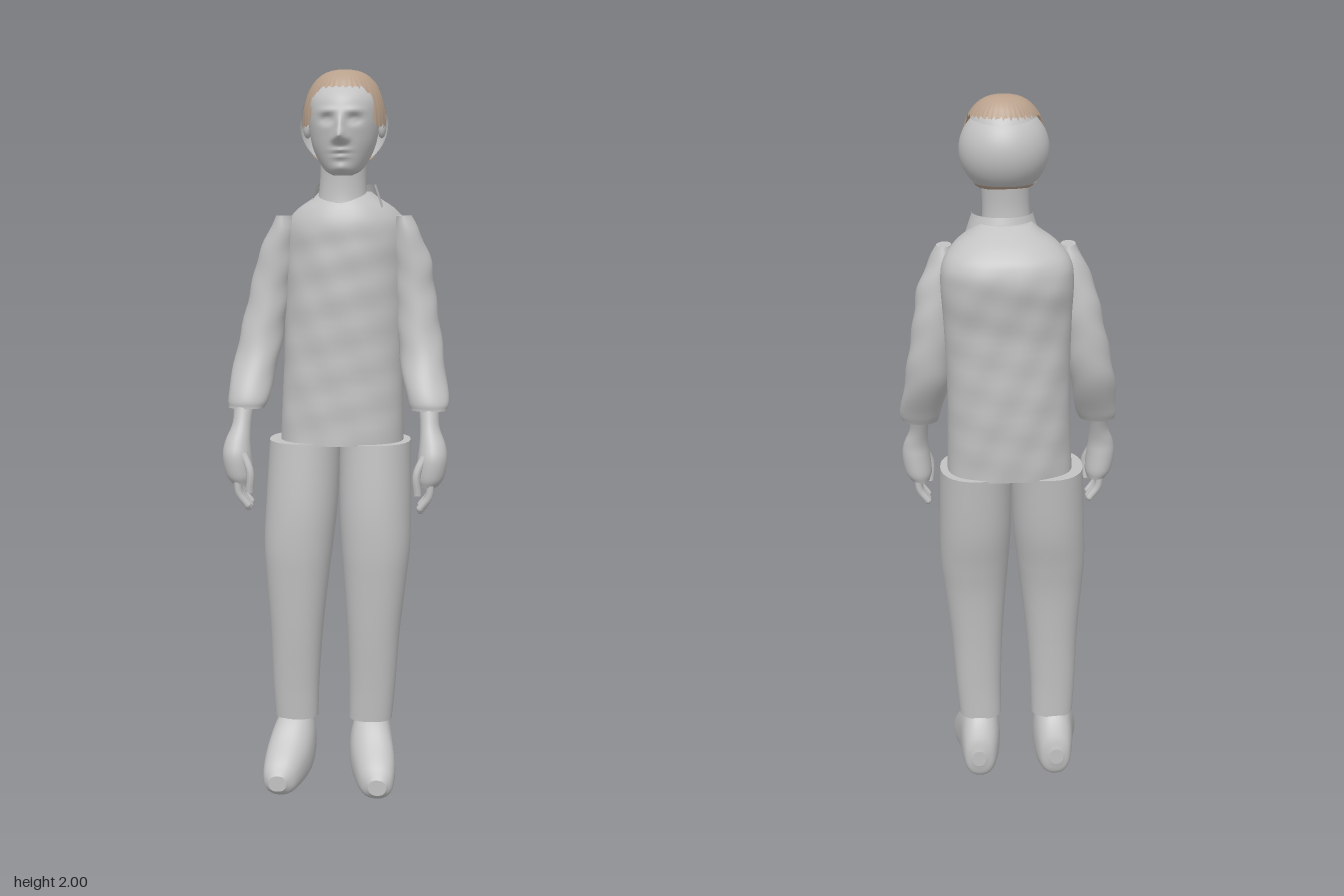
import * as THREE from 'three';

const grey = new THREE.MeshStandardMaterial({ color: 0xc2c2c2, side: THREE.DoubleSide });
grey.name = 'plainGrey';
const tan = new THREE.MeshStandardMaterial({ color: 0xb8a08b, side: THREE.DoubleSide });
tan.name = 'hairTan';

// Smooth loft through oval rows [y, x0, x1, z0, z1], lowest row first, with flat ends
function loft(rows, { seg = 32, sub = 5, power = 1, rule } = {}) {
  const spline = new THREE.CubicInterpolant(rows.map((r, i) => i), rows.flat(), 5);
  const rings = (rows.length - 1) * sub;
  const pos = [], index = [], v = new THREE.Vector3();
  const bend = (c) => Math.sign(c) * Math.abs(c) ** power;
  for (let i = 0; i <= rings; i++) {
    const [y, x0, x1, z0, z1] = spline.evaluate(i / sub);
    for (let j = 0; j < seg; j++) {
      const a = (j / seg) * Math.PI * 2;
      v.set((x0 + x1) / 2 + (x1 - x0) / 2 * bend(Math.cos(a)), y,
        (z0 + z1) / 2 + (z1 - z0) / 2 * bend(Math.sin(a)));
      if (rule) rule(v);
      pos.push(v.x, v.y, v.z);
      if (i < rings) {
        const p = i * seg + j, q = i * seg + (j + 1) % seg;
        index.push(p, p + seg, q, q, p + seg, q + seg);
      }
    }
  }
  for (const [ring, top] of [[0, false], [rings, true]]) {
    const start = pos.length / 3, c = [0, 0, 0];
    for (let j = 0; j < seg; j++) for (let k = 0; k < 3; k++) {
      const n = pos[(ring * seg + j) * 3 + k];
      pos.push(n);
      c[k] += n / seg;
    }
    pos.push(...c);
    for (let j = 0; j < seg; j++) {
      const p = start + j, q = start + (j + 1) % seg;
      index.push(start + seg, top ? q : p, top ? p : q);
    }
  }
  const g = new THREE.BufferGeometry();
  g.setAttribute('position', new THREE.Float32BufferAttribute(pos, 3));
  g.setIndex(index);
  g.computeVertexNormals();
  return g;
}

// Mirror rows to either side of the body
const sided = (rows, s, shift = () => 0) => rows.map(([y, x0, x1, z0, z1]) => {
  const d = shift(y);
  return s > 0 ? [y, x0 + d, x1 + d, z0, z1] : [y, d - x1, d - x0, z0, z1];
});

// Soft bump used to model the face
const bump = (x, y, cx, cy, w, h) => Math.exp(-(((x - cx) / w) ** 2) - ((y - cy) / h) ** 2);

function faceRule(v) {
  if (v.z < 0.06) return;
  const x = Math.abs(v.x - 0.017), y = v.y;
  v.z += 0.038 * bump(x, y, 0, 1.822, 0.014, 0.017) + 0.017 * bump(x, y, 0, 1.85, 0.011, 0.026)
    + 0.008 * bump(x, y, 0.015, 1.815, 0.009, 0.009)
    - 0.013 * bump(x, y, 0.036, 1.865, 0.018, 0.011) + 0.006 * bump(x, y, 0.036, 1.864, 0.01, 0.006)
    + 0.006 * bump(x, y, 0.035, 1.888, 0.024, 0.008)
    + 0.009 * bump(x, y, 0, 1.786, 0.022, 0.007) + 0.008 * bump(x, y, 0, 1.77, 0.02, 0.007)
    - 0.004 * bump(x, y, 0, 1.778, 0.026, 0.003) + 0.008 * bump(x, y, 0, 1.742, 0.02, 0.012);
}

// Shoulders wider behind than in front, plus light cloth creases
function shirtRule(v) {
  const k = THREE.MathUtils.smoothstep(v.y, 1.1, 1.5);
  v.x = 0.012 + (v.x - 0.012) * (1 - k * (v.z + 0.1) * 0.9);
  const fade = THREE.MathUtils.smoothstep(1.62 - v.y, 0, 0.1);
  v.z += fade * 0.003 * Math.sin(v.y * 46 + v.x * 22) * Math.sin(v.x * 38 - v.y * 17);
}

// Hair cap: low at the temples, high above the forehead and at the back, with ragged strands
function hairCap() {
  const seg = 120, rings = 14, pos = [], index = [];
  const step = THREE.MathUtils.smoothstep;
  for (let i = 0; i <= rings; i++) for (let j = 0; j < seg; j++) {
    const a = (j / seg) * Math.PI * 2, s = Math.sin(a);
    const temple = step(s, 0.06, 0.14) * (1 - step(s, 0.62, 0.8));
    const edge = 1.95 - 0.1 * temple + 0.007 * Math.sin(j * 2.4) * Math.sin(j * 0.7);
    const phi = Math.acos((edge - 1.86) / 0.14) * i / rings;
    const r = Math.sin(phi) ** 0.75 * (1 + 0.012 * Math.sin(j * 2.1) * i / rings);
    pos.push(0.017 + 0.113 * r * Math.cos(a), 1.86 + 0.14 * Math.cos(phi),
      0.025 + (s > 0 ? 0.106 : 0.095) * r * s);
    if (i < rings) {
      const p = i * seg + j, q = i * seg + (j + 1) % seg;
      index.push(p, q, p + seg, q, q + seg, p + seg);
    }
  }
  const g = new THREE.BufferGeometry();
  g.setAttribute('position', new THREE.Float32BufferAttribute(pos, 3));
  g.setIndex(index);
  g.computeVertexNormals();
  return g;
}

export function createModel() {
  const model = new THREE.Group();
  model.name = 'standingMan';
  const add = (name, geometry, material = grey) => {
    const m = new THREE.Mesh(geometry, material);
    m.name = name;
    model.add(m);
    return m;
  };

  // Shirt and collar
  add('shirt', loft([
    [0.99, -0.167, 0.177, -0.145, 0.09], [1.2, -0.16, 0.176, -0.158, 0.093],
    [1.4, -0.165, 0.188, -0.165, 0.1], [1.53, -0.168, 0.195, -0.186, 0.102],
    [1.59, -0.16, 0.188, -0.18, 0.1], [1.63, -0.13, 0.16, -0.15, 0.088],
    [1.66, -0.085, 0.118, -0.11, 0.07], [1.68, -0.06, 0.09, -0.075, 0.05],
  ], { seg: 64, sub: 8, power: 0.85, rule: shirtRule }));
  const collar = add('collar', new THREE.CylinderGeometry(0.08, 0.1, 0.06, 32, 1, true, Math.PI / 2 - 0.3, Math.PI + 0.3));
  collar.position.set(0.022, 1.668, 0.02);

  // Neck and head
  add('neck', loft([
    [1.62, -0.065, 0.09, -0.045, 0.085], [1.66, -0.056, 0.078, -0.04, 0.076],
    [1.72, -0.05, 0.075, -0.037, 0.074], [1.8, -0.05, 0.08, -0.045, 0.08],
  ]));
  add('head', loft([
    [1.722, -0.008, 0.042, 0.05, 0.112], [1.738, -0.034, 0.068, 0, 0.126],
    [1.78, -0.06, 0.093, -0.045, 0.136], [1.82, -0.072, 0.106, -0.06, 0.143],
    [1.87, -0.078, 0.112, -0.07, 0.149], [1.92, -0.076, 0.11, -0.062, 0.138],
    [1.96, -0.055, 0.089, -0.035, 0.1], [1.98, -0.02, 0.055, 0.01, 0.07],
  ], { seg: 96, sub: 9, rule: faceRule }));
  for (const s of [-1, 1]) {
    const ear = add(s > 0 ? 'leftEar' : 'rightEar', new THREE.SphereGeometry(1, 16, 12));
    ear.scale.set(0.012, 0.03, 0.018);
    ear.position.set(0.017 + s * 0.1, 1.85, 0.03);
  }

  // Back of the skull, cut straight at the ears, with a fringe of hair at the nape
  const back = (r, from, to) => new THREE.SphereGeometry(r, 40, 24, Math.PI, Math.PI, from, to - from)
    .scale(0.119, 0.116, 0.117).translate(0.016, 1.86, 0.035);
  add('skullBack', back(1, 0, 2.42));
  add('napeHair', back(1.02, 2.36, 2.5), tan);
  add('hair', hairCap(), tan);

  for (const s of [-1, 1]) {
    const side = s > 0 ? 'left' : 'right';
    const armShift = (y) => (y > 1.3 ? 0.01 * Math.min(1, (y - 1.3) / 0.2) : 0) + 0.002;

    // Sleeve
    add(side + 'Sleeve', loft(sided([
      [1.095, 0.2, 0.3, 0.04, 0.122], [1.13, 0.188, 0.303, 0.02, 0.118],
      [1.25, 0.164, 0.286, -0.042, 0.07], [1.4, 0.146, 0.258, -0.058, 0.048],
      [1.5, 0.135, 0.238, -0.052, 0.046], [1.57, 0.135, 0.208, -0.042, 0.046],
      [1.615, 0.145, 0.185, -0.028, 0.04],
    ], s, armShift), { sub: 7, rule: (v) => { v.x += 0.002 * Math.sin(v.y * 60 + v.z * 40); } }));

    // Hand: wrist and palm, four fingers and a thumb
    add(side + 'Palm', loft(sided([
      [0.895, 0.228, 0.282, 0.095, 0.168], [0.92, 0.222, 0.298, 0.088, 0.178],
      [0.97, 0.226, 0.306, 0.088, 0.18], [1.01, 0.23, 0.3, 0.088, 0.165],
      [1.06, 0.23, 0.282, 0.075, 0.137], [1.13, 0.222, 0.284, 0.045, 0.11],
    ], s), { seg: 24 }));
    const digit = (name, points, r) => add(side + name, new THREE.TubeGeometry(
      new THREE.CatmullRomCurve3(points.map(([x, y, z]) => new THREE.Vector3(s * x, y, z))), 10, r, 8));
    for (let f = 0; f < 4; f++) {
      const z = 0.106 + f * 0.018, tip = 0.825 + Math.abs(f - 1.5) * 0.008;
      digit('Finger' + (f + 1), [[0.262, 0.915, z], [0.258, 0.87, z], [0.235, tip, z - 0.002]], 0.0105);
      const end = add(side + 'Fingertip' + (f + 1), new THREE.SphereGeometry(0.0105, 8, 6));
      end.position.set(s * 0.235, tip, z - 0.002);
    }
    digit('Thumb', [[0.245, 0.98, 0.16], [0.225, 0.93, 0.172], [0.228, 0.875, 0.168]], 0.011);

    // Trouser leg
    add(side + 'TrouserLeg', loft(sided([
      [0.19, 0.045, 0.168, -0.046, 0.056], [0.3, 0.043, 0.176, -0.05, 0.067],
      [0.45, 0.035, 0.184, -0.06, 0.085], [0.6, 0.022, 0.198, -0.076, 0.1],
      [0.7, 0.012, 0.206, -0.095, 0.108], [0.82, 0.003, 0.204, -0.122, 0.108],
      [0.995, 0, 0.198, -0.145, 0.094],
    ], s, (y) => -0.016 * THREE.MathUtils.clamp((0.95 - y) / 0.75, 0, 1)),
    { seg: 40, sub: 7, power: 0.9 }));

    // Shoe, lofted from heel to toe: rows are [z, x0, x1, -top, -bottom]
    add(side + 'Shoe', loft(sided([
      [-0.09, 0.095, 0.135, -0.105, -0.055], [-0.078, 0.07, 0.155, -0.145, -0.018],
      [-0.045, 0.056, 0.165, -0.195, -0.002], [0, 0.05, 0.17, -0.215, 0],
      [0.05, 0.052, 0.178, -0.195, 0], [0.1, 0.066, 0.186, -0.145, 0],
      [0.15, 0.088, 0.183, -0.1, -0.002], [0.174, 0.115, 0.165, -0.065, -0.02],
    ], s, () => -0.017), { power: 0.85 }).rotateX(Math.PI / 2));
  }
  return model;
}
